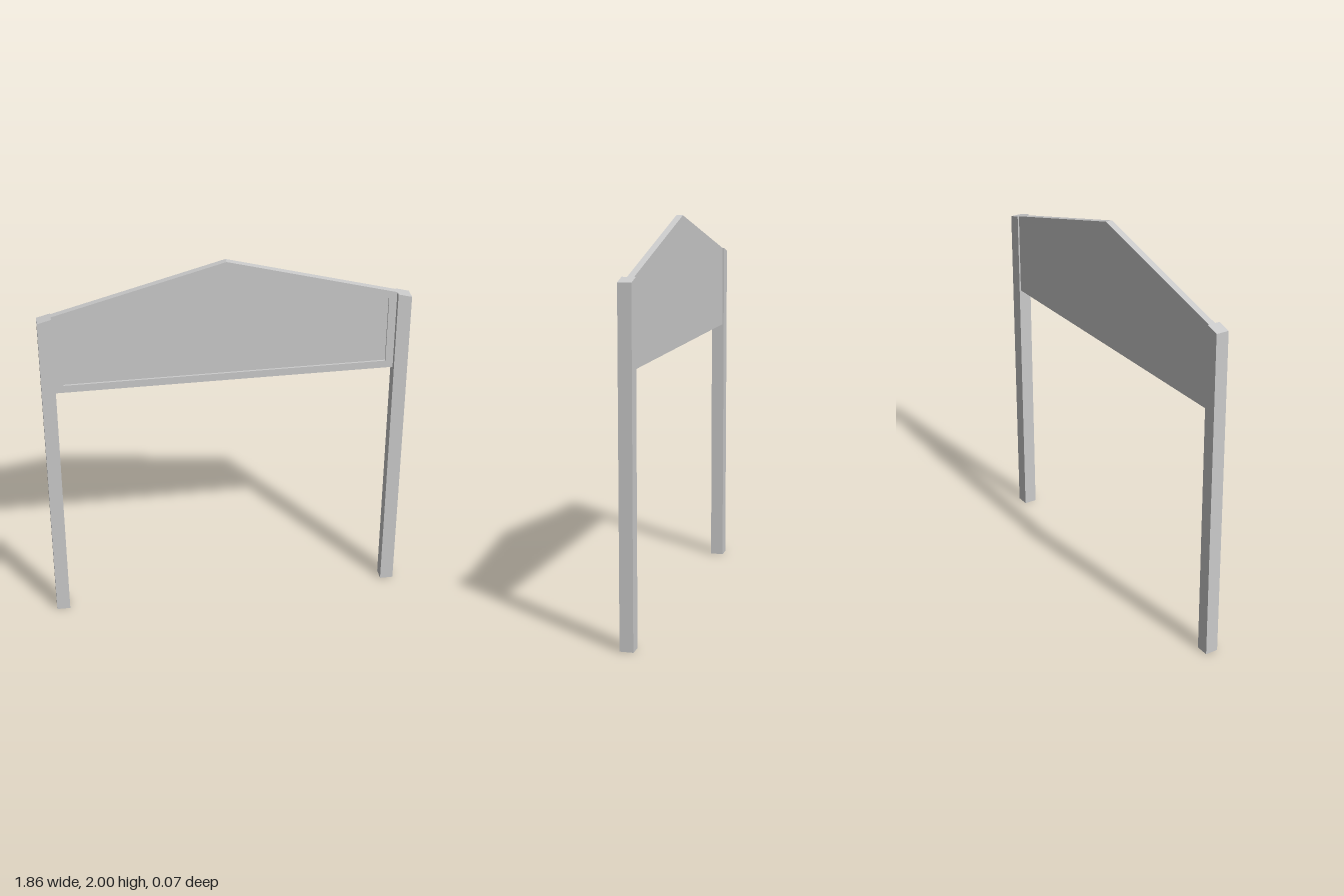
import * as THREE from 'three';

const APEX = 2, SLOPE = 0.269, OUTER = 0.93, INNER = 0.86, PANEL_BOTTOM = 1.34;
const roofAt = (x) => APEX - SLOPE * Math.abs(x);

// Five-sided gable outline, inset by a margin on every edge
function gablePoints(margin) {
  const x = INNER - margin, drop = margin * Math.hypot(1, SLOPE), y = PANEL_BOTTOM + margin;
  return [[-x, y], [x, y], [x, roofAt(x) - drop], [0, APEX - drop], [-x, roofAt(x) - drop]]
    .map(([px, py]) => new THREE.Vector2(px, py));
}

export function createModel() {
  const group = new THREE.Group();
  const material = new THREE.MeshStandardMaterial({ color: 0xcccccc, flatShading: true });

  // Extrude a shape between two depths
  const addSlab = (name, shape, back, front) => {
    const geometry = new THREE.ExtrudeGeometry(shape, { depth: front - back, bevelEnabled: false });
    geometry.translate(0, 0, back);
    const mesh = new THREE.Mesh(geometry, material);
    mesh.name = name;
    group.add(mesh);
  };

  // Square posts whose tops follow the gable slope
  for (const [name, s] of [['leftPost', 1], ['rightPost', -1]]) {
    const post = new THREE.Shape([
      new THREE.Vector2(s * INNER, 0),
      new THREE.Vector2(s * OUTER, 0),
      new THREE.Vector2(s * OUTER, roofAt(OUTER)),
      new THREE.Vector2(s * INNER, roofAt(INNER)),
    ]);
    addSlab(name, post, -0.034, 0.034);
  }

  // Sign board, flat at the back
  addSlab('board', new THREE.Shape(gablePoints(0)), -0.026, -0.002);

  // Raised border around the recessed front face
  const border = new THREE.Shape(gablePoints(0));
  border.holes.push(new THREE.Path(gablePoints(0.04)));
  addSlab('boardBorder', border, -0.002, 0.008);

  return group;
}
